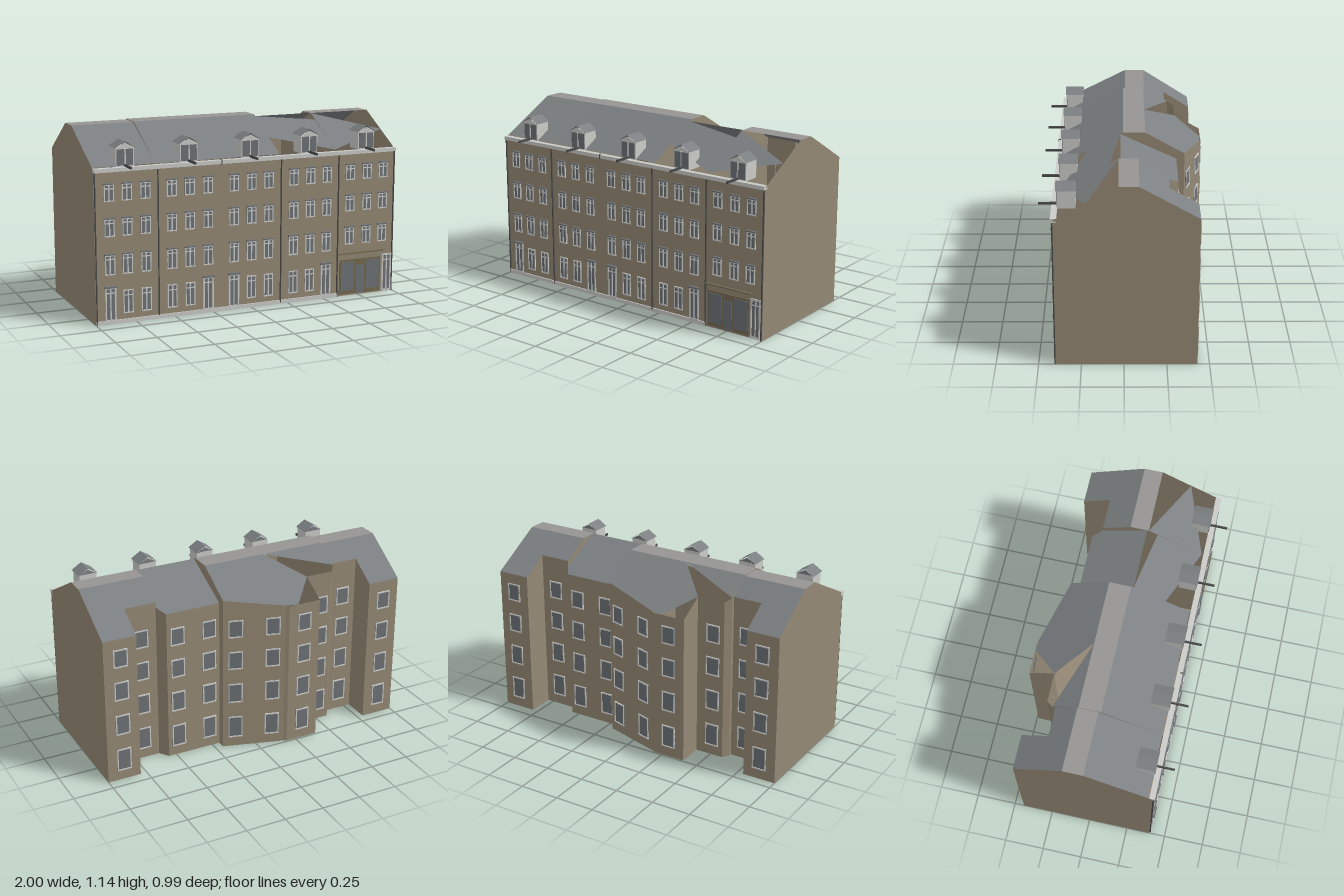
import * as THREE from 'three';

const mat = (name, color, side = THREE.FrontSide) => {
  const m = new THREE.MeshStandardMaterial({ color, side });
  m.name = name;
  return m;
};

export function createModel() {
  const wall = mat('tan brick', 0x948874, THREE.DoubleSide);
  const slate = mat('slate roof', 0x7c8082, THREE.DoubleSide);
  const flat = mat('flat roof', 0x979593, THREE.DoubleSide);
  const trim = mat('light trim', 0xcbcbc8);
  const glass = mat('glass grey', 0x6e7276);
  const dark = mat('dark metal', 0x4a4a4a);
  const brown = mat('shop brown', 0x75694f);

  const model = new THREE.Group();
  const group = (name, parent = model) => {
    const g = new THREE.Group();
    g.name = name;
    parent.add(g);
    return g;
  };
  const unit = new THREE.BoxGeometry(1, 1, 1);
  // box given by its minimum and maximum along each axis
  const box = (parent, name, m, x0, x1, y0, y1, z0, z1) => {
    const b = new THREE.Mesh(unit, m);
    b.name = name;
    b.position.set((x0 + x1) / 2, (y0 + y1) / 2, (z0 + z1) / 2);
    b.scale.set(x1 - x0, y1 - y0, z1 - z0);
    parent.add(b);
  };
  // flat convex panel, triangulated as a fan
  const panel = (parent, name, m, pts) => {
    const pos = [];
    for (let i = 1; i < pts.length - 1; i++) pos.push(...pts[0], ...pts[i], ...pts[i + 1]);
    const g = new THREE.BufferGeometry();
    g.setAttribute('position', new THREE.Float32BufferAttribute(pos, 3));
    g.computeVertexNormals();
    const mesh = new THREE.Mesh(g, m);
    mesh.name = name;
    parent.add(mesh);
  };

  // roof profile [z, y] of each house, front to back, and its back wall [x, z]
  const houses = {
    A: {
      roof: [[0.4, 0.93], [0.375, 0.94], [-0.01, 1.135], [-0.135, 1.135], [-0.44, 0.94]],
      back: [[-1, -0.44], [-0.79, -0.44], [-0.79, -0.27], [-0.61, -0.27]],
    },
    B: {
      roof: [[0.4, 0.93], [0.375, 0.94], [0.005, 1.14], [-0.13, 1.14], [-0.49, 0.935]],
      back: [[-0.61, -0.29], [-0.58, -0.33], [-0.4, -0.33], [-0.4, -0.49], [-0.19, -0.49], [-0.17, -0.48], [0.2, -0.37]],
    },
    C: {
      roof: [[0.4, 0.93], [0.375, 0.94], [0.02, 1.13], [-0.32, 0.97]],
      back: [[0.2, -0.32], [0.55, -0.32], [0.59, -0.26]],
    },
    D: {
      roof: [[0.4, 0.93], [0.375, 0.94], [0.03, 1.13], [-0.085, 1.13], [-0.43, 0.935]],
      back: [[0.59, -0.26], [0.79, -0.26], [0.79, -0.43], [1, -0.43]],
    },
  };
  const height = (h, z) => {
    const r = houses[h].roof;
    let i = 0;
    while (i < r.length - 2 && z < r[i + 1][0]) i++;
    const [a, b] = [r[i], r[i + 1]];
    return a[1] + ((z - a[0]) / (b[0] - a[0])) * (b[1] - a[1]);
  };

  // walls and floor
  const walls = group('walls');
  panel(walls, 'frontWall', wall, [[-1, 0, 0.4], [1, 0, 0.4], [1, 0.93, 0.4], [-1, 0.93, 0.4]]);
  const outline = [[-1, 0.4]];
  for (const h in houses) {
    const pts = houses[h].back;
    outline.push(...pts);
    for (let i = 0; i < pts.length - 1; i++) {
      const [[x0, z0], [x1, z1]] = [pts[i], pts[i + 1]];
      panel(walls, 'backWall', wall, [[x1, 0, z1], [x0, 0, z0], [x0, height(h, z0), z0], [x1, height(h, z1), z1]]);
    }
  }
  outline.push([1, 0.4]);
  const floor = new THREE.Mesh(
    new THREE.ShapeGeometry(new THREE.Shape(outline.map(([x, z]) => new THREE.Vector2(x, z)))).rotateX(Math.PI / 2), wall);
  floor.name = 'floor';
  walls.add(floor);
  const gable = (h, x, zb, outward) => {
    const pts = [[x, 0, 0.4]];
    for (const [z, y] of houses[h].roof) if (z > zb) pts.push([x, y, z]);
    pts.push([x, height(h, zb), zb], [x, 0, zb]);
    panel(walls, 'gable', wall, outward > 0 ? pts.reverse() : pts);
  };
  gable('A', -1, -0.44, -1);
  gable('B', -0.61, -0.29, -1);
  gable('B', 0.2, -0.37, 1);
  gable('D', 0.59, -0.26, -1);
  gable('D', 1, -0.43, 1);

  // roof panels; each lies on its house's profile, some are left open
  const roof = group('roof');
  const sheet = (h, name, m, pts) => panel(roof, name, m, pts.map(([x, z]) => [x, height(h, z), z]));
  const strip = (h, name, m, x0, x1, zf, zb) => sheet(h, name, m, [[x0, zf], [x1, zf], [x1, zb], [x0, zb]]);
  strip('A', 'frontSlope', slate, -1, -0.61, 0.375, -0.01);
  strip('A', 'flatRidge', flat, -1, -0.61, -0.01, -0.135);
  strip('A', 'backSlope', slate, -1, -0.61, -0.135, -0.27);
  strip('A', 'wingSlope', slate, -1, -0.79, -0.27, -0.44);
  strip('B', 'frontSlope', slate, -0.61, 0.2, 0.375, 0.005);
  strip('B', 'flatRidge', flat, -0.61, 0.2, 0.005, -0.13);
  sheet('B', 'backSlope', slate, [[-0.61, -0.13], [-0.2, -0.13], [-0.61, -0.29]]);
  sheet('B', 'backSlope', slate, [[-0.2, -0.13], [0.2, -0.13], [0.2, -0.37], [-0.17, -0.48], [-0.25, -0.49], [-0.4, -0.33]]);
  sheet('C', 'frontSlope', slate, [[0.2, 0.02], [0.2, 0.22], [0.59, 0.37], [0.59, 0.085]]);
  sheet('C', 'backSlope', slate, [[0.2, 0.02], [0.59, 0.02], [0.59, -0.26], [0.55, -0.32], [0.2, -0.32]]);
  sheet('D', 'frontSlope', slate, [[0.59, 0.03], [0.59, 0.37], [1, 0.215]]);
  strip('D', 'flatRidge', flat, 0.59, 1, 0.03, -0.085);
  strip('D', 'backSlope', slate, 0.59, 1, -0.085, -0.26);
  strip('D', 'wingSlope', slate, 0.79, 1, -0.26, -0.43);

  // cornice, plinth and downpipes
  const facade = group('facade');
  box(facade, 'cornice', trim, -1, 1, 0.913, 0.936, 0.38, 0.414);
  box(facade, 'plinth', trim, -1, 0.6, 0, 0.024, 0.398, 0.408);
  for (const x of [-0.995, -0.605, 0.2, 0.598, 0.995]) box(facade, 'downpipe', dark, x - 0.003, x + 0.003, 0, 0.915, 0.4, 0.408);
  box(facade, 'downpipe', dark, -0.203, -0.197, 0.91, 0.94, 0.4, 0.416);

  // framed window in its own plane, facing +z
  const framed = (parent, name, w, y0, y1, f, mullion, transom) => {
    const g = group(name, parent);
    const r = w / 2;
    box(g, 'pane', glass, -r, r, y0, y1, 0, 0.004);
    for (const s of [-1, 1]) box(g, 'jamb', trim, s * (r - f / 2) - f / 2, s * (r - f / 2) + f / 2, y0, y1, 0, 0.008);
    box(g, 'sill', trim, -r, r, y0, y0 + f, 0, 0.009);
    box(g, 'head', trim, -r, r, y1 - f, y1, 0, 0.009);
    if (mullion) box(g, 'mullion', trim, -0.004, 0.004, y0, y1, 0, 0.007);
    if (transom) box(g, 'transom', trim, -r, r, transom - 0.003, transom + 0.003, 0, 0.007);
    return g;
  };
  // front windows and doors: bay centres, upper rows, door column
  const bays = [
    { xs: [-0.91, -0.8, -0.685], rows: [[0.3, 0.42], [0.53, 0.635], [0.74, 0.84]], door: 0 },
    { xs: [-0.52, -0.405, -0.287], rows: [[0.3, 0.42], [0.53, 0.635], [0.74, 0.84]], door: 2 },
    { xs: [-0.117, 0, 0.115], rows: [[0.3, 0.42], [0.53, 0.635], [0.74, 0.84]], door: 0 },
    { xs: [0.285, 0.4, 0.515], rows: [[0.305, 0.425], [0.535, 0.64], [0.745, 0.845]], door: 2 },
    { xs: [0.68, 0.8, 0.915], rows: [[0.335, 0.445], [0.55, 0.65], [0.75, 0.845]], door: -1 },
  ];
  const front = (g, x) => g.position.set(x, 0, 0.401);
  for (const { xs, rows, door } of bays) xs.forEach((x, i) => {
    for (const [y0, y1] of rows) {
      front(framed(facade, 'frontWindow', 0.062, y0, y1, 0.006, true, y1 - 0.025), x);
      box(facade, 'lintel', glass, x - 0.034, x + 0.034, y1, y1 + 0.008, 0.4, 0.415);
    }
    if (door < 0) return;
    if (i === door) {
      front(framed(facade, 'frontDoor', 0.068, 0.02, 0.225, 0.009, true, 0.19), x);
      box(facade, 'doorHood', glass, x - 0.037, x + 0.037, 0.222, 0.232, 0.4, 0.418);
    } else front(framed(facade, 'groundWindow', 0.062, 0.06, 0.203, 0.006, true, 0.17), x);
  });

  // shop front
  const shop = group('shopFront');
  box(shop, 'fascia', brown, 0.6, 0.93, 0.272, 0.279, 0.4, 0.416);
  box(shop, 'surround', brown, 0.615, 0.91, 0.01, 0.235, 0.398, 0.405);
  for (const [x0, x1, y0, y1] of [[0.625, 0.715, 0.035, 0.222], [0.73, 0.79, 0.01, 0.195], [0.805, 0.9, 0.035, 0.222]])
    box(shop, 'shopPane', glass, x0, x1, y0, y1, 0.4, 0.409);
  front(framed(shop, 'sideDoor', 0.068, 0.005, 0.25, 0.01, true, 0.21), 0.955);

  // back windows, four floors on each wall stretch
  const backWindows = group('backWindows');
  const stretches = [
    [[-1, -0.44], [-0.79, -0.44], [0.5]], [[-0.79, -0.27], [-0.61, -0.27], [0.5]],
    [[-0.58, -0.33], [-0.4, -0.33], [0.4]], [[-0.4, -0.49], [-0.19, -0.49], [0.5]],
    [[-0.17, -0.48], [0.2, -0.37], [0.2, 0.8]], [[0.2, -0.32], [0.55, -0.32], [0.2, 0.8]],
    [[0.59, -0.26], [0.79, -0.26], [0.5]], [[0.79, -0.43], [1, -0.43], [0.5]],
  ];
  for (const [p, q, ts] of stretches) for (const t of ts)
    for (const [y0, y1] of [[0.065, 0.21], [0.31, 0.44], [0.54, 0.66], [0.755, 0.87]]) {
      const g = framed(backWindows, 'backWindow', 0.09, y0, y1, 0.007, false, 0);
      g.position.set(p[0] + (q[0] - p[0]) * t, 0, p[1] + (q[1] - p[1]) * t);
      g.rotation.y = Math.atan2(q[1] - p[1], p[0] - q[0]);
    }

  // dormers with pitched roofs and hoisting beams
  for (const x of [-0.8, -0.4, 0, 0.4, 0.8]) {
    const d = group('dormer');
    d.position.x = x;
    box(d, 'dormerBody', trim, -0.056, 0.056, 0.935, 1.047, 0.275, 0.38);
    box(d, 'dormerWindow', glass, -0.05, 0.05, 0.942, 1.038, 0.38, 0.383);
    box(d, 'dormerMullion', trim, -0.004, 0.004, 0.94, 1.04, 0.38, 0.386);
    for (const z of [0.275, 0.386])
      panel(d, 'pediment', z > 0.3 ? trim : slate, z > 0.3
        ? [[-0.06, 1.044, z], [0.06, 1.044, z], [0, 1.076, z]]
        : [[0.06, 1.044, z], [-0.06, 1.044, z], [0, 1.076, z]]);
    for (const s of [-1, 1])
      panel(d, 'dormerRoof', slate, [[s * 0.063, 1.045, 0.388], [s * 0.063, 1.045, 0.27], [0, 1.084, 0.27], [0, 1.084, 0.388]]);
    box(d, 'hoistBeam', dark, -0.005, 0.005, 0.936, 0.95, 0.37, 0.49);
  }
  return model;
}
